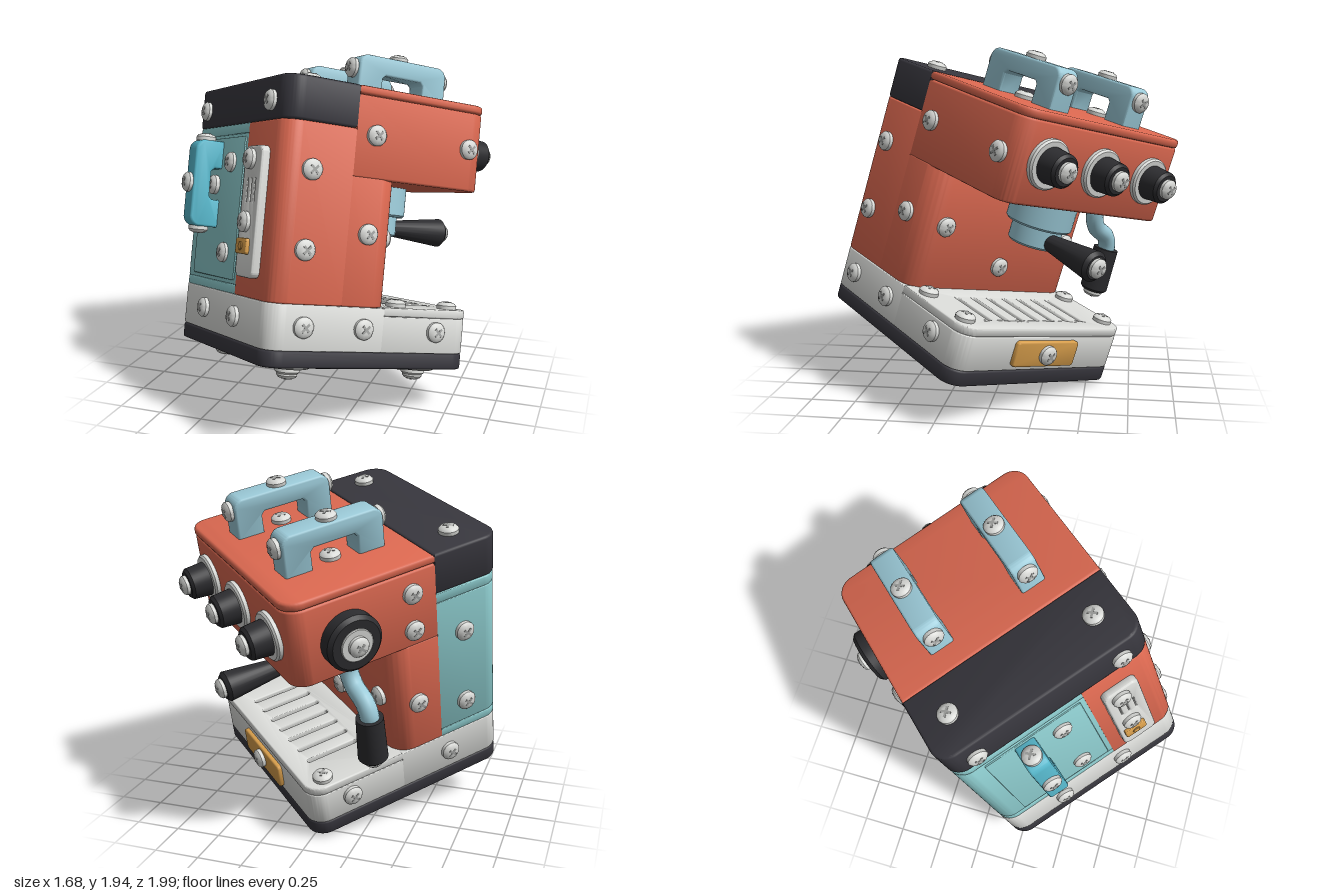
import * as THREE from 'three';
import { toCreasedNormals } from 'three/addons/utils/BufferGeometryUtils.js';

const mat = (name, color) => Object.assign(new THREE.MeshStandardMaterial({ color }), { name });
const RED = mat('coral red', 0xdb6850), DARK = mat('charcoal', 0x37363d), BLACK = mat('black', 0x2c2c2f);
const WHITE = mat('off white', 0xd9dad7), BLUE = mat('pale blue', 0x9ccbd9), TANK = mat('tank aqua', 0x8ccacc);
const TEAL = mat('teal', 0x55b5c9), GOLD = mat('amber', 0xd99f4c), GREY = mat('slot grey', 0xa3a4a2);
const UP = new THREE.Vector3(0, 1, 0);
const DIR = {
  up: [0, 1, 0], down: [0, -1, 0], left: [1, 0, 0], right: [-1, 0, 0], front: [0, 0, 1], rear: [0, 0, -1],
};

export function createModel() {
  const model = new THREE.Group();
  model.name = 'espressoMachine';

  const add = (name, geo, material, parent = model) => {
    const m = new THREE.Mesh(geo, material);
    m.name = name;
    parent.add(m);
    return m;
  };
  const aim = (o, pos, dir) => {
    o.position.set(...pos);
    o.quaternion.setFromUnitVectors(UP, new THREE.Vector3(...DIR[dir]));
    return o;
  };

  // Rectangle with one radius per corner, counter-clockwise from the lowest corner
  function rect(x0, x1, y0, y1, r, Type = THREE.Shape) {
    const [a, b, c, d] = Array.isArray(r) ? r : [r, r, r, r];
    const s = new Type(), H = Math.PI / 2;
    const corner = (x, y, rad, start) => rad > 0
      ? s.absarc(x, y, rad, start, start + H, false) : s.lineTo(x, y);
    s.moveTo(x0 + a, y0);
    corner(x1 - b, y0 + b, b, -H);
    corner(x1 - c, y1 - c, c, 0);
    corner(x0 + d, y1 - d, d, H);
    corner(x0 + a, y0 + a, a, 2 * H);
    return s;
  }
  const extrude = (shape, h, b) => toCreasedNormals(new THREE.ExtrudeGeometry(shape, {
    depth: h - 2 * b, bevelEnabled: b > 0, bevelSize: b, bevelThickness: b, bevelSegments: 2, curveSegments: 10,
  }).translate(0, 0, b), 0.85);

  // Horizontal slab with rounded plan; radii order: rear right, rear left, front left, front right
  function slab(name, material, [x0, x1], [y0, y1], [z0, z1], radii, b = 0.008, holes = []) {
    const s = rect(x0 + b, x1 - b, z0 + b, z1 - b, radii.map((r) => Math.max(0, r - b)));
    s.holes.push(...holes);
    return add(name, extrude(s, y1 - y0, b).rotateX(Math.PI / 2).translate(0, y1, 0), material);
  }
  // Turned part whose profile runs [radius, height] along dir
  const turned = (name, material, profile, pos, dir, parent) => aim(add(name, toCreasedNormals(
    new THREE.LatheGeometry(profile.map((p) => new THREE.Vector2(...p)), 36), 0.6), material, parent), pos, dir);
  const disc = (r, h, c = 0.01, r0 = r) => [[0, 0], [r0, 0], [r, h - c], [r - c, h], [0, h]];

  // Cross-head screw
  const screwGeo = toCreasedNormals(new THREE.LatheGeometry([[0, 0], [0.054, 0], [0.055, 0.022], [0.045, 0.034],
    [0.025, 0.041], [0, 0.042]].map((p) => new THREE.Vector2(...p)), 22), 0.6);
  const slotGeo = new THREE.BoxGeometry(0.056, 0.008, 0.013);
  function screw(pos, dir, parent = model) {
    const g = new THREE.Group();
    g.name = 'screw';
    add('screwHead', screwGeo, WHITE, g);
    for (const k of [1, -1]) {
      const s = add('screwCross', slotGeo, GREY, g);
      s.position.y = 0.0385;
      s.rotation.y = k * Math.PI / 4;
    }
    parent.add(aim(g, pos, dir));
  }

  // Base, drip tray and feet
  const W = [-0.6, 0.6], R = 0.1;
  slab('bottomPlate', DARK, W, [0.183, 0.27], [-0.625, 0.625], [R, R, R, R], 0.012);
  slab('baseRear', WHITE, W, [0.27, 0.505], [-0.625, 0.05], [R, R, 0, 0], 0.006);
  slab('baseFront', WHITE, W, [0.27, 0.462], [0.05, 0.625], [0, 0, R, R], 0.006);
  const slots = [];
  for (let i = -3; i <= 3; i++) {
    slots.push(rect(i * 0.115 - 0.022, i * 0.115 + 0.022, 0.19, 0.52, 0.021, THREE.Path));
  }
  slab('dripTray', WHITE, W, [0.462, 0.51], [0.05, 0.625], [0, 0, R, R], 0.008, slots);
  for (const x of [-0.41, 0.41]) for (const z of [-0.395, 0.395]) {
    turned('footDisc', WHITE, disc(0.118, 0.02, 0.006), [x, 0.183, z], 'down');
    turned('foot', WHITE, disc(0.066, 0.035, 0.01), [x, 0.165, z], 'down');
    screw([x, 0.142, z], 'down');
  }
  const frontBadge = add('amberPlate', extrude(rect(-0.22, 0.22, -0.065, 0.065, 0.015), 0.035, 0.008), GOLD);
  frontBadge.position.set(0, 0.37, 0.615);
  screw([0, 0.37, 0.648], 'front');

  // Body shell
  slab('column', RED, W, [0.505, 1.18], [-0.215, 0.08], [0, 0, 0.12, 0.12]);
  slab('rearQuarter', RED, [-0.6, -0.17], [0.505, 1.425], [-0.625, -0.215], [R, 0, 0, 0]);
  slab('head', RED, W, [1.172, 1.605], [-0.215, 0.625], [0, 0, R, R], 0.012);
  slab('headLid', RED, W, [1.605, 1.652], [-0.215, 0.628], [0, 0, R, R], 0.014);
  slab('rearCap', DARK, W, [1.425, 1.652], [-0.628, -0.215], [R, R, 0, 0], 0.014);

  // Water tank
  for (const [name, y0, y1] of [['tankFoot', 0.505, 0.555], ['tankBody', 0.555, 1.37], ['tankRim', 1.37, 1.425]]) {
    slab(name, TANK, [-0.17, 0.6], [y0, y1], [-0.623, -0.215], [0, R, 0, 0], 0.006);
  }
  const panel = add('tankPanel', extrude(rect(-0.14, 0.44, 0.58, 1.35, 0.01), 0.012, 0.003), TANK);
  panel.position.z = -0.63;

  // Vented control plate on the back
  const plate = rect(-0.445, -0.255, 0.62, 1.28, 0.03);
  for (const dx of [-0.045, 0, 0.045]) {
    plate.holes.push(rect(-0.35 + dx - 0.012, -0.35 + dx + 0.012, 0.99, 1.13, 0.011, THREE.Path));
  }
  add('ventPlate', extrude(plate, 0.052, 0.01), WHITE).position.z = -0.67;
  add('ventBacking', new THREE.BoxGeometry(0.16, 0.2, 0.01), WHITE).position.set(-0.35, 1.06, -0.635);
  add('powerButton', extrude(rect(-0.06, 0.06, -0.035, 0.035, 0.008), 0.03, 0.006), GOLD)
    .position.set(-0.335, 0.77, -0.69);
  turned('buttonRing', GOLD, disc(0.022, 0.008, 0.003), [-0.335, 0.77, -0.688], 'rear');

  // Bridge handles: two cup rails and the tank grip
  function handle(name, material, L, H, width) {
    const g = new THREE.Group(), l = L / 2, leg = 0.13, c = 0.045, b = 0.012;
    g.name = name;
    const s = new THREE.Shape();
    s.moveTo(-l, 0);
    s.lineTo(-l + leg, 0);
    s.lineTo(-l + leg, H - 0.115);
    s.lineTo(-l + leg + 0.025, H - 0.09);
    s.lineTo(l - leg - 0.025, H - 0.09);
    s.lineTo(l - leg, H - 0.115);
    s.lineTo(l - leg, 0);
    s.lineTo(l, 0);
    s.lineTo(l, H - b - c);
    s.absarc(l - c, H - b - c, c, 0, Math.PI / 2, false);
    s.absarc(-l + c, H - b - c, c, Math.PI / 2, Math.PI, false);
    s.closePath();
    add(name + 'Bridge', extrude(s, width, b).translate(0, 0, -width / 2).rotateY(-Math.PI / 2), material, g);
    screw([0, H - 0.004, 0], 'up', g);
    screw([0, 0, 0], 'up', g);
    screw([0, H - 0.075, l + 0.008], 'front', g);
    screw([0, H - 0.075, -l - 0.008], 'rear', g);
    model.add(g);
    return g;
  }
  for (const x of [-0.28, 0.28]) handle('cupRail', BLUE, 0.55, 0.22, 0.14).position.set(x, 1.65, 0.203);
  const grip = handle('tankHandle', TEAL, 0.46, 0.16, 0.12);
  grip.position.set(0.21, 1.09, -0.63);
  grip.rotation.x = -Math.PI / 2;

  // Front knobs
  for (const x of [-0.385, 0, 0.385]) {
    turned('knobBezel', WHITE, disc(0.132, 0.035), [x, 1.4, 0.62], 'front');
    turned('knob', BLACK, disc(0.088, 0.12, 0.015, 0.096), [x, 1.4, 0.65], 'front');
    screw([x, 1.4, 0.766], 'front');
  }

  // Steam dial and wand
  turned('steamDial', BLACK, disc(0.155, 0.09, 0.02), [0.595, 1.37, 0.31], 'left');
  turned('steamDialDisc', WHITE, disc(0.09, 0.012, 0.004), [0.682, 1.37, 0.31], 'left');
  screw([0.69, 1.37, 0.31], 'left');
  const path = new THREE.CatmullRomCurve3([[0.465, 1.2, 0.26], [0.465, 1.08, 0.26], [0.51, 1.01, 0.26],
    [0.61, 0.96, 0.26], [0.648, 0.9, 0.26], [0.65, 0.82, 0.26]].map((p) => new THREE.Vector3(...p)));
  add('steamWand', new THREE.TubeGeometry(path, 32, 0.052, 16), BLUE);
  turned('wandGrip', BLACK, disc(0.082, 0.27, 0.015, 0.074), [0.65, 0.885, 0.26], 'down');
  screw([0.65, 0.618, 0.26], 'down');

  // Brew head and portafilter
  turned('brewHead', BLUE, disc(0.188, 0.175, 0.012), [0, 1.175, 0.296], 'down');
  turned('filterBasket', BLUE, disc(0.145, 0.12, 0.012), [0, 1.005, 0.296], 'down');
  turned('filterHandle', BLACK, disc(0.086, 0.39, 0.02, 0.045), [0, 0.935, 0.41], 'front');
  screw([0, 0.935, 0.796], 'front');

  // Body screws, grouped by the face they sit on
  for (const [z, y] of [[-0.46, 1.185], [-0.46, 0.78], [-0.1, 1.4], [0.5, 1.4], [-0.1, 0.885],
    [-0.43, 0.392], [-0.075, 0.392], [0.385, 0.388]]) screw([-0.598, y, z], 'right');
  for (const [z, y] of [[-0.38, 1.15], [-0.38, 0.695], [-0.07, 1.485], [-0.07, 1.27], [-0.07, 0.81],
    [-0.26, 0.39], [0.385, 0.388]]) screw([0.598, y, z], 'left');
  for (const [x, y] of [[0.01, 1.215], [0.01, 0.718], [-0.43, 1.522], [0.43, 1.522], [-0.2, 0.393],
    [0.215, 0.393]]) screw([x, y, -0.624], 'rear');
  for (const y of [1.22, 0.895]) screw([-0.335, y, -0.668], 'rear');
  for (const [x, y] of [[-0.46, 0.87], [0.46, 0.84], [0, 0.66]]) screw([x, y, 0.078], 'front');
  for (const x of [-1, 1]) {
    screw([0.43 * x, 1.65, -0.42], 'up');
    screw([0.52 * x, 0.508, 0.17], 'up');
    screw([0.52 * x, 0.508, 0.51], 'up');
  }

  // The machine is tipped back and turned
  model.rotation.set(THREE.MathUtils.degToRad(-16.2), THREE.MathUtils.degToRad(137.5), 0);
  model.position.set(-0.018, 0.0745, 0.256);
  const root = new THREE.Group();
  root.name = 'model';
  root.add(model);
  return root;
}
